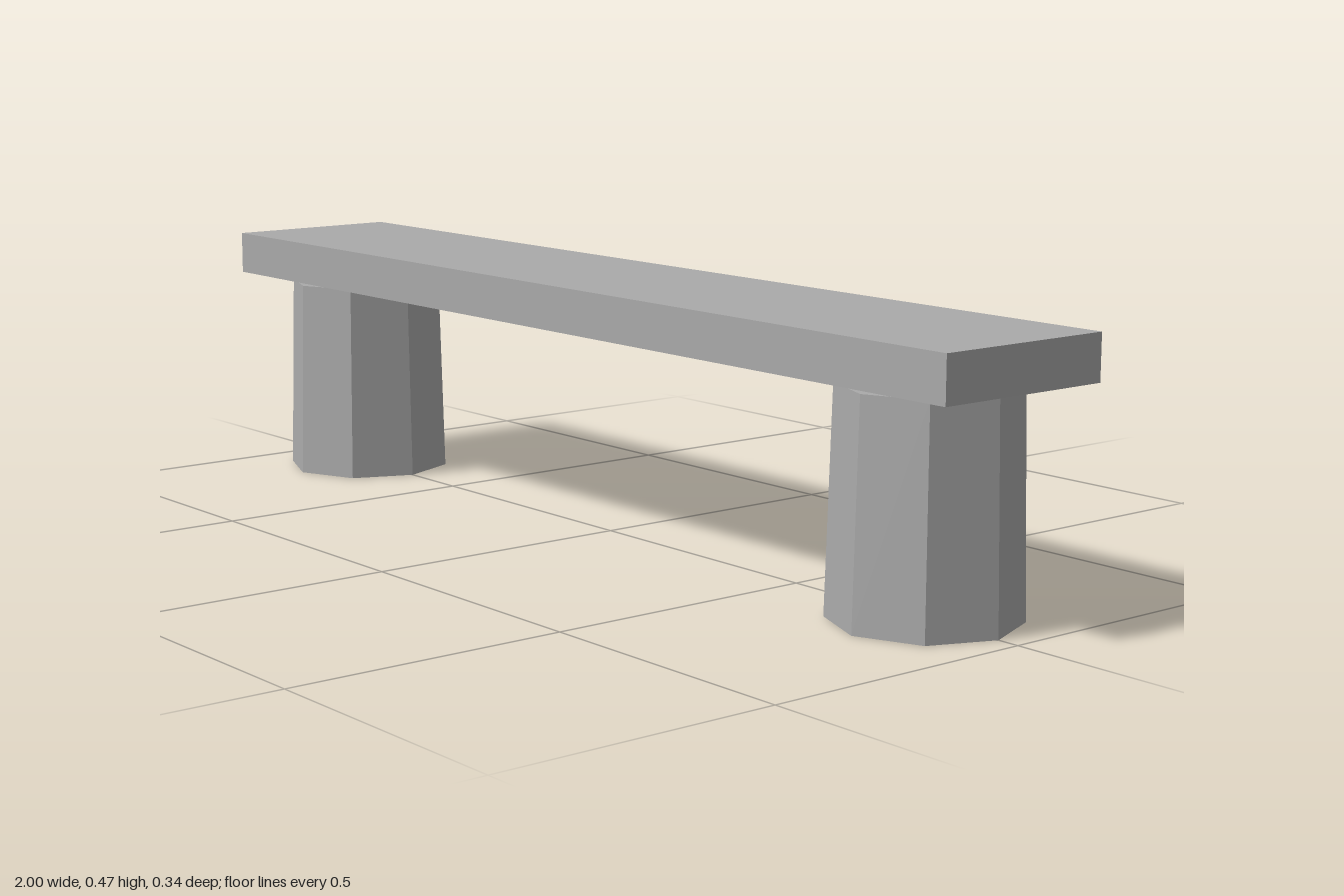
import * as THREE from 'three';

export function createModel() {
  const bench = new THREE.Group();
  bench.name = 'bench';
  const stone = new THREE.MeshStandardMaterial({ color: 0xaaaaaa, flatShading: true });
  stone.name = 'grey stone';

  const add = (name, geometry, x, y) => {
    const mesh = new THREE.Mesh(geometry, stone);
    mesh.name = name;
    mesh.position.set(x, y, 0);
    bench.add(mesh);
  };

  // Seat slab, resting just clear of the legs
  add('seat', new THREE.BoxGeometry(2, 0.08, 0.34), 0, 0.43);

  // Tapered eight-sided legs
  const leg = new THREE.CylinderGeometry(0.15, 0.16, 0.38, 8);
  add('leftLeg', leg, 0.8, 0.19);
  add('rightLeg', leg, -0.8, 0.19);

  return bench;
}
